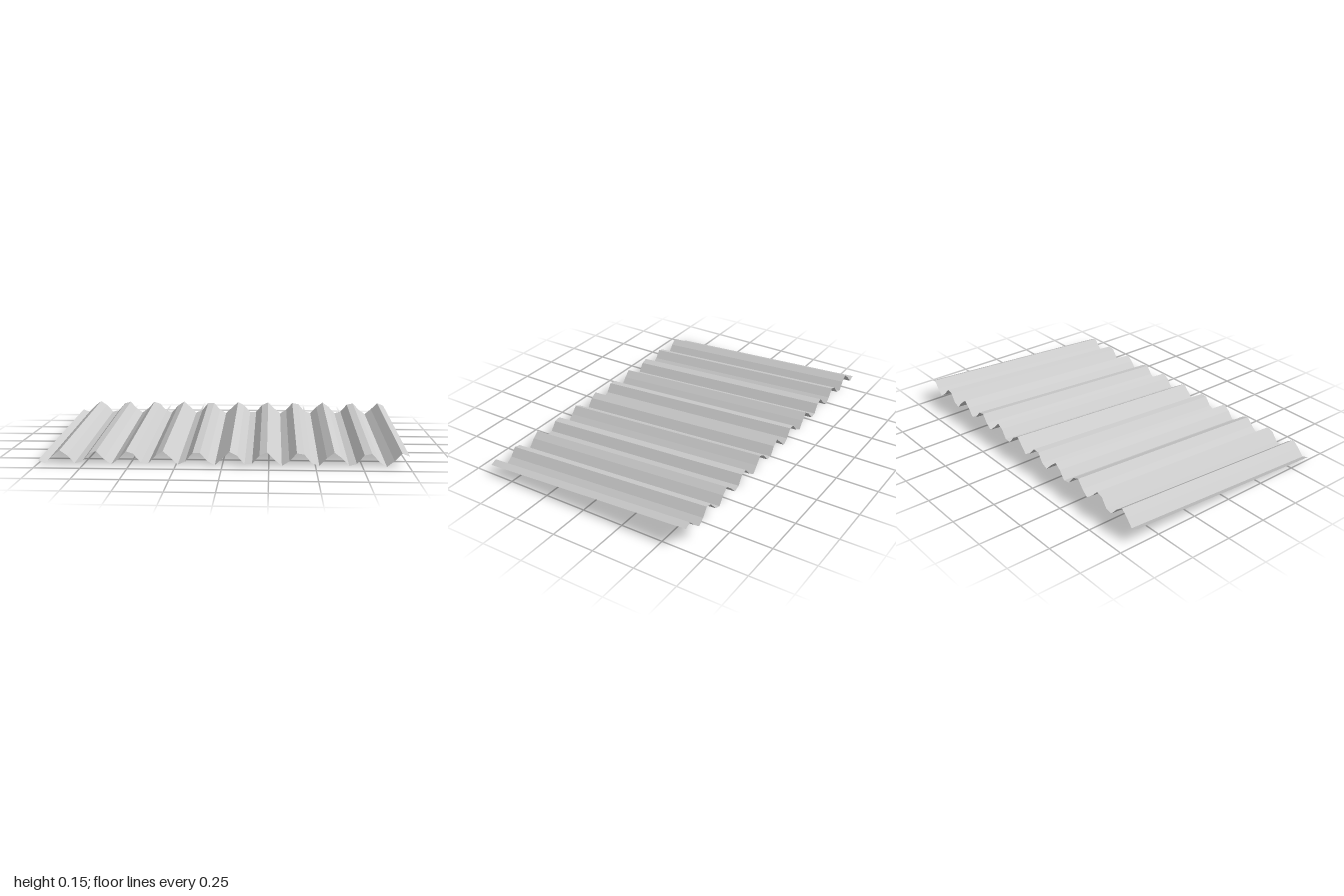
import * as THREE from 'three';

const WIDTH = 2, LENGTH = 1.29, AMPLITUDE = 0.038;
const WAVE = 34;      // radians of corrugation per unit of width
const SEGMENTS = 50;  // facets across the width
const TILT = 0.06;    // the back edge sits higher than the front

export function createModel() {
  const model = new THREE.Group();
  model.name = 'corrugatedRoof';

  // Flat sheet, rippled across its width by a sine wave
  const geometry = new THREE.PlaneGeometry(WIDTH, LENGTH, SEGMENTS, 1);
  geometry.rotateX(-Math.PI / 2);
  const pos = geometry.attributes.position;
  for (let i = 0; i < pos.count; i++) {
    pos.setY(i, AMPLITUDE * Math.sin(WAVE * pos.getX(i)));
  }
  geometry.computeVertexNormals();

  const sheet = new THREE.Mesh(geometry, new THREE.MeshStandardMaterial({
    color: 0xcccccc, flatShading: true, side: THREE.DoubleSide,
  }));
  sheet.name = 'corrugatedSheet';

  // Slope the sheet and rest its front troughs on the ground
  sheet.rotation.x = TILT;
  sheet.position.y = AMPLITUDE * Math.cos(TILT) + (LENGTH / 2) * Math.sin(TILT);
  model.add(sheet);
  return model;
}
